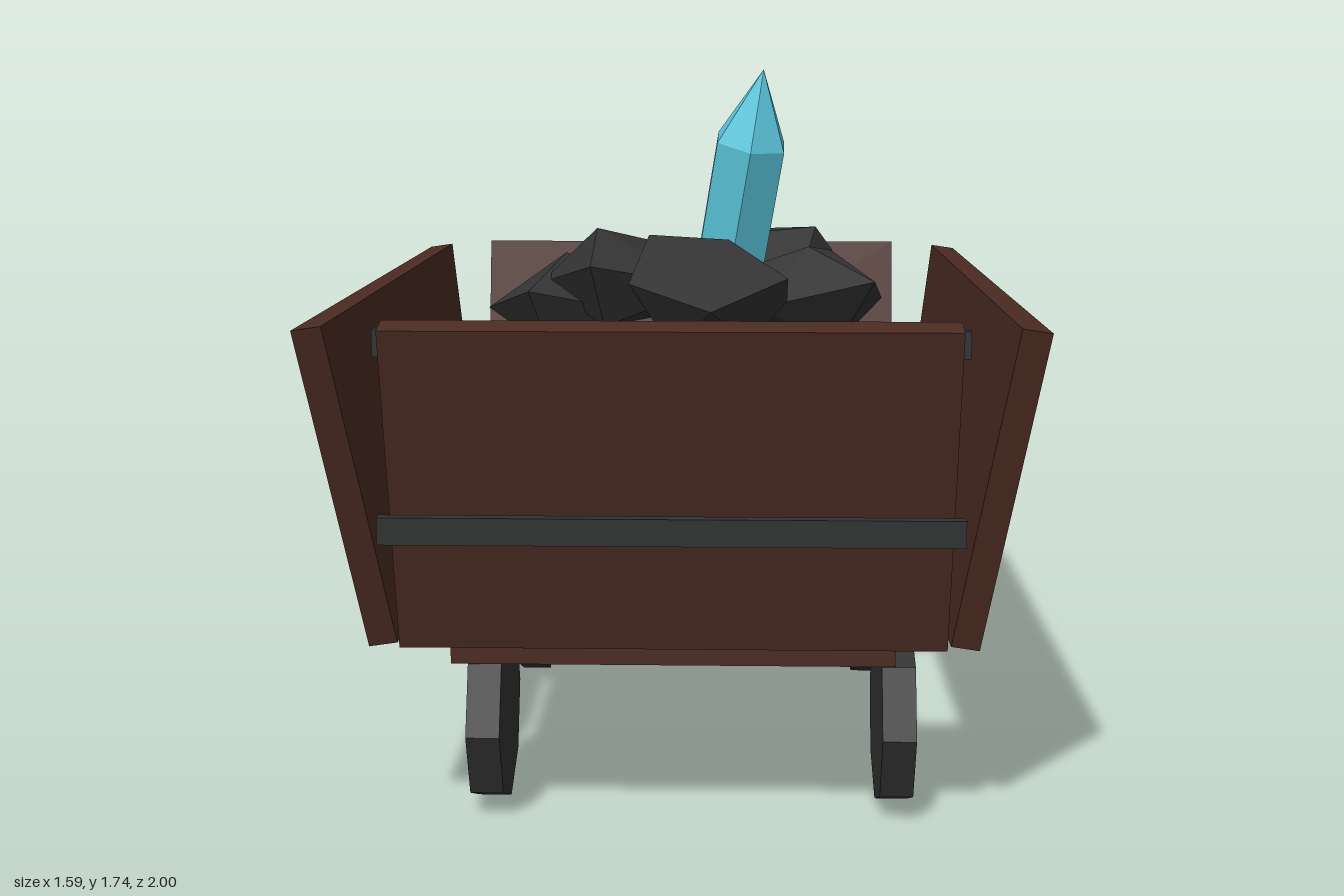
import * as THREE from 'three';
import { ConvexGeometry } from 'three/addons/geometries/ConvexGeometry.js';

const material = (name, color) => {
  const m = new THREE.MeshStandardMaterial({ color, flatShading: true });
  m.name = name;
  return m;
};

export function createModel() {
  const wood = material('brown wood', 0x4b2b22);
  const coal = material('dark coal', 0x333333);
  const iron = material('iron', 0x2f3232);
  const gem = material('blue crystal', 0x5ccae0);

  const model = new THREE.Group();
  model.name = 'oreCart';

  const add = (name, geometry, mat, x, y, z, parent = model) => {
    const mesh = new THREE.Mesh(geometry, mat);
    mesh.name = name;
    mesh.position.set(x, y, z);
    parent.add(mesh);
    return mesh;
  };

  // Floor
  add('floor', new THREE.BoxGeometry(1.005, 0.055, 1.515), wood, -0.002, 0.438, 0);

  // Outward leaning walls: rectangular ends, trapezoid sides
  const endWall = new THREE.BoxGeometry(1.22, 0.76, 0.063);
  const sideShape = new THREE.Shape([
    new THREE.Vector2(-0.77, -0.376), new THREE.Vector2(0.77, -0.376),
    new THREE.Vector2(0.96, 0.376), new THREE.Vector2(-0.96, 0.376),
  ]);
  const sideWall = new THREE.ExtrudeGeometry(sideShape, { depth: 0.065, bevelEnabled: false });
  sideWall.translate(0, 0, -0.0325).rotateY(Math.PI / 2);
  [0, Math.PI].forEach((turn) => {
    const pair = new THREE.Group();
    pair.name = turn ? 'backAndRightWalls' : 'frontAndLeftWalls';
    pair.rotation.y = turn;
    add('endWall', endWall, wood, 0, 0.842, 0.878, pair).rotation.x = 0.246;
    add('sideWall', sideWall, wood, 0.71, 0.83, 0, pair).rotation.z = -0.147;
    model.add(pair);
  });

  // Iron straps across the front wall
  const strap = new THREE.BoxGeometry(1.26, 0.06, 0.03);
  add('outerStrap', strap, iron, 0, 0.763, 0.933);
  add('innerStrap', strap, iron, 0, 1.17, 0.93);

  // Eight-sided wheels
  const wheel = new THREE.CylinderGeometry(0.222, 0.222, 0.078, 8).rotateZ(Math.PI / 2);
  for (const x of [-0.441, 0.517]) {
    for (const z of [-0.507, 0.503]) add('wheel', wheel, coal, x, 0.222, z);
  }

  // Coal lumps: plan outline [x, z] at mid height, crown points [x, y, z], shrunken base
  const lump = (name, midY, outline, crown) => {
    const cx = outline.reduce((s, p) => s + p[0], 0) / outline.length;
    const cz = outline.reduce((s, p) => s + p[1], 0) / outline.length;
    const points = crown.map((p) => new THREE.Vector3(...p));
    outline.forEach(([x, z], i) => {
      points.push(new THREE.Vector3(x, midY + (i % 2 ? 0.03 : -0.03), z));
      if (i % 2) {
        points.push(new THREE.Vector3(cx + (x - cx) * 0.5, midY - 0.13, cz + (z - cz) * 0.5));
      }
    });
    add(name, new ConvexGeometry(points), coal, 0, 0, 0);
  };
  lump('frontCoal', 1.22,
    [[-0.01, 0.19], [0.19, 0.22], [0.26, 0.35], [0.26, 0.41], [0.08, 0.575], [-0.11, 0.53], [-0.09, 0.38]],
    [[-0.07, 1.348, 0.35], [0.12, 1.335, 0.33]]);
  lump('upperCoal', 1.23,
    [[-0.3, -0.08], [-0.01, -0.1], [0.07, 0.135], [-0.22, 0.24], [-0.36, 0.055]],
    [[-0.21, 1.345, 0.12], [-0.08, 1.3, -0.04]]);
  lump('lowerCoal', 1.16,
    [[-0.3, -0.19], [-0.18, -0.13], [-0.1, 0.1], [-0.38, 0.17], [-0.5, 0]],
    [[-0.3, 1.27, -0.03]]);
  lump('leftCoal', 1.19,
    [[0.36, -0.13], [0.43, -0.08], [0.51, 0.02], [0.48, 0.2], [0.19, 0.25], [0.09, 0.11], [0.13, -0.02]],
    [[0.32, 1.295, 0.07], [0.38, 1.28, 0.0]]);
  lump('backCoal', 1.2,
    [[0, -0.58], [0.05, -0.62], [0.19, -0.63], [0.41, -0.54], [0.31, -0.3], [0.03, -0.5]],
    [[0.36, 1.3, -0.49], [0.2, 1.285, -0.61], [0.06, 1.27, -0.5]]);

  // Leaning six-sided crystal with a pointed tip
  const crystal = new THREE.Group();
  crystal.name = 'crystal';
  crystal.position.set(0.118, 1.205, -0.182);
  crystal.quaternion.setFromUnitVectors(
    new THREE.Vector3(0, 1, 0), new THREE.Vector3(0.165, 1, 0.26).normalize());
  add('crystalShaft', new THREE.CylinderGeometry(0.1, 0.1, 0.36, 6), gem, 0, 0.18, 0, crystal);
  add('crystalTip', new THREE.CylinderGeometry(0, 0.1, 0.195, 6, 1, true), gem, 0, 0.4575, 0, crystal);
  model.add(crystal);

  return model;
}
